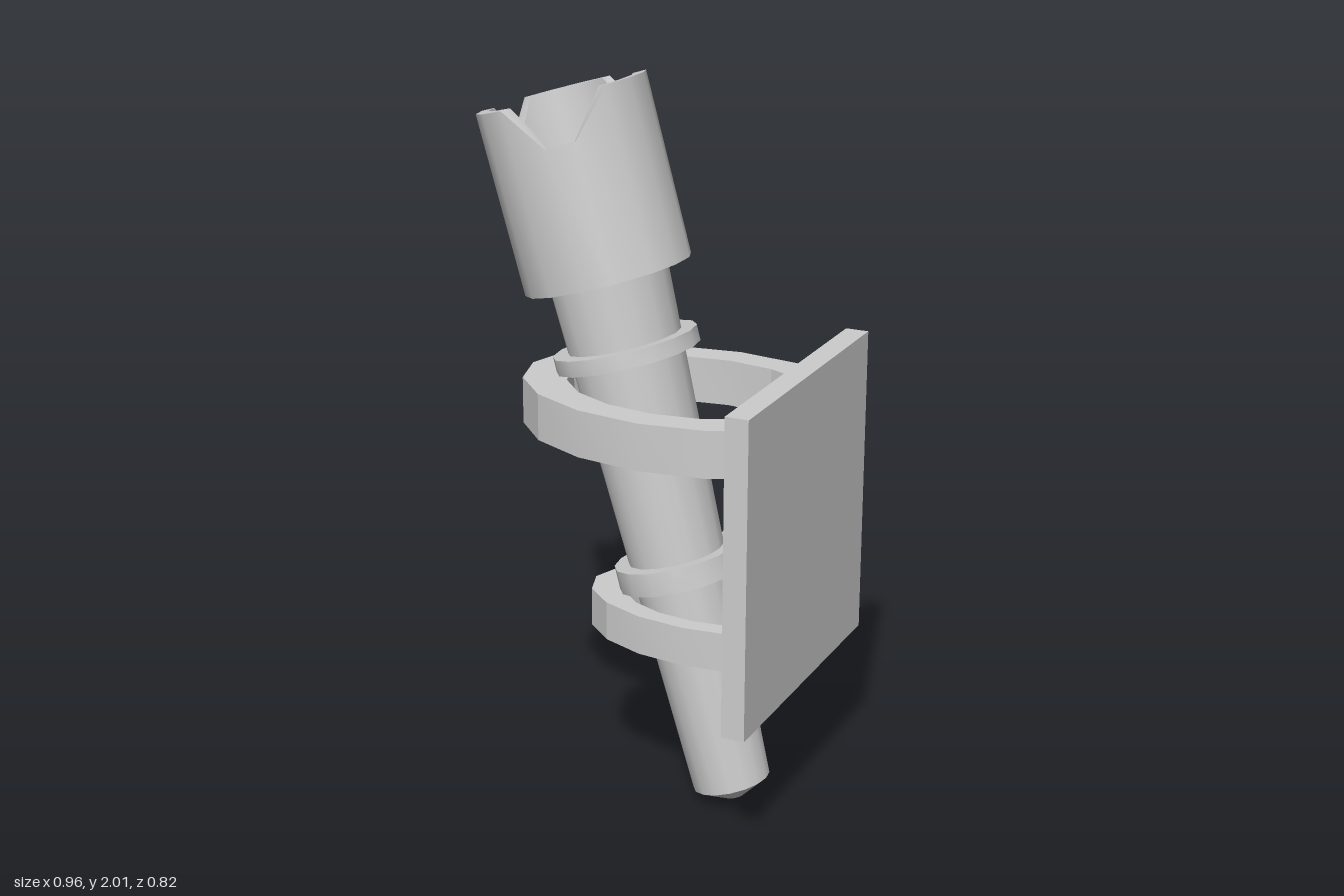
import * as THREE from 'three';
import { toCreasedNormals } from 'three/addons/utils/BufferGeometryUtils.js';

const material = new THREE.MeshStandardMaterial({ color: 0xcccccc });
const rad = THREE.MathUtils.degToRad;

function add(parent, geometry, name, x = 0, y = 0, z = 0) {
  const mesh = new THREE.Mesh(geometry, material);
  mesh.name = name;
  mesh.position.set(x, y, z);
  parent.add(mesh);
  return mesh;
}

// Revolved part with crisp edges; profile is [radius, height] pairs
function lathe(profile, sides = 16) {
  const points = profile.map(([r, y]) => new THREE.Vector2(r, y));
  return toCreasedNormals(new THREE.LatheGeometry(points, sides), 0.5);
}

// Flat ring around the shaft
const collar = (inner, outer, low, high) =>
  lathe([[inner, low], [outer, low], [outer, high], [inner, high]]);

// C-shaped elliptical clamp, open towards the plate
function clamp(outerX, outerZ, innerX, innerZ, height) {
  const outer = [], inner = [];
  for (let i = 2; i <= 14; i++) {
    const a = i * Math.PI / 8;
    outer.push(new THREE.Vector2(outerX * Math.cos(a), outerZ * Math.sin(a)));
    inner.unshift(new THREE.Vector2(innerX * Math.cos(a), innerZ * Math.sin(a)));
  }
  const shape = new THREE.Shape([...outer, ...inner]);
  const g = new THREE.ExtrudeGeometry(shape, { depth: height, bevelEnabled: false });
  return toCreasedNormals(g.rotateX(-Math.PI / 2), 0.3);
}

// Open cup whose rim is cut into three teeth
function cupGeometry() {
  const H = 0.5, N = 0.38; // tooth and notch heights
  const rim = [
    [-34, H], [-12, H], [10, H], [31, H], [60, N], [80, N],
    [105, H], [127, H], [150, H], [172, H], [193, N],
    [215, H], [235, H], [256, H], [277, H], [306, N],
  ];
  const rings = [[0.15, 0], [0.23, 0], [0.233, null], [0.197, null], [0.195, 0.12]];
  const vertex = (ring, i) => {
    const [deg, top] = rim[i % rim.length];
    const [r, y] = rings[ring];
    return [r * Math.cos(rad(deg)), y ?? top, r * Math.sin(rad(deg))];
  };
  const positions = [];
  for (let k = 0; k < rings.length - 1; k++) {
    for (let i = 0; i < rim.length; i++) {
      const a = vertex(k, i), b = vertex(k, i + 1);
      const c = vertex(k + 1, i), d = vertex(k + 1, i + 1);
      positions.push(...a, ...c, ...d, ...a, ...d, ...b);
    }
  }
  const g = new THREE.BufferGeometry();
  g.setAttribute('position', new THREE.Float32BufferAttribute(positions, 3));
  return toCreasedNormals(g, 0.55);
}

export function createModel() {
  const model = new THREE.Group();
  model.name = 'wallTorch';

  // Wall plate and the two clamps that hold the shaft
  add(model, new THREE.BoxGeometry(0.065, 0.88, 0.82), 'wallPlate', 0.4525, 0.84, 0);
  add(model, clamp(0.48, 0.333, 0.353, 0.248, 0.13), 'upperClamp', 0.135, 1.06, -0.012);
  add(model, clamp(0.37, 0.215, 0.27, 0.163, 0.11), 'lowerClamp', 0.22, 0.48, -0.003);

  // Leaning torch, built along its own axis
  const torch = new THREE.Group();
  torch.name = 'torch';
  torch.position.set(0.275, 0.053, 0.005);
  torch.rotation.set(-0.014, 0, rad(15.3));
  model.add(torch);

  add(torch, lathe([[0, -0.046], [0.028, -0.046], [0.109, 0], [0.166, 1.52], [0, 1.52]]), 'shaft');
  add(torch, collar(0.12, 0.175, 0.61, 0.676), 'lowerCollar');
  add(torch, collar(0.14, 0.2, 1.24, 1.284), 'upperCollar');

  // Toothed cup with its floor
  const head = new THREE.Group();
  head.name = 'head';
  head.position.y = 1.468;
  head.rotation.z = rad(1);
  torch.add(head);
  add(head, cupGeometry(), 'cup');
  add(head, new THREE.CircleGeometry(0.198, 16).rotateX(-Math.PI / 2), 'cupFloor', 0, 0.125, 0);

  return model;
}
